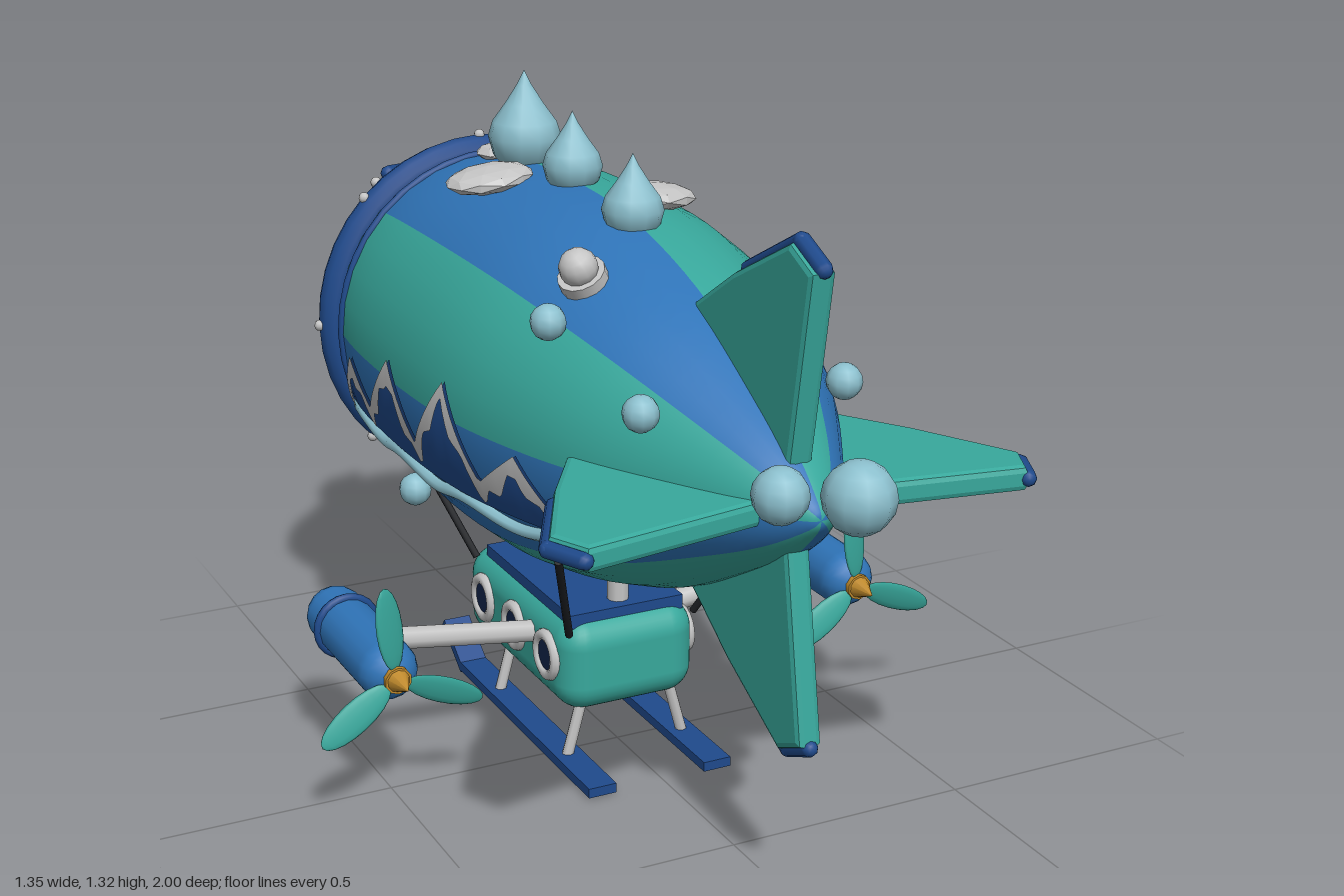
import * as THREE from 'three';
import { RoundedBoxGeometry } from 'three/addons/geometries/RoundedBoxGeometry.js';

const V = (x, y, z) => new THREE.Vector3(x, y, z);
const mat = (name, color) => Object.assign(new THREE.MeshStandardMaterial({ color }), { name });
const AXIS = 0.77; // height of the hull axis

// Hull profile: radius against z, from nose (-z) to tail (+z)
const profile = new THREE.SplineCurve([[0, -1], [0.095, -0.96], [0.18, -0.9], [0.265, -0.8], [0.325, -0.68],
  [0.363, -0.5], [0.377, -0.25], [0.37, 0], [0.335, 0.2], [0.27, 0.4], [0.165, 0.6], [0.09, 0.72], [0.025, 0.79], [0, 0.8]]
  .map(([r, z]) => new THREE.Vector2(r, z))).getPoints(52);
profile.forEach(p => { p.x = Math.max(p.x, 0); });

function hullR(z) {
  for (let i = 1; i < profile.length; i++) {
    const a = profile[i - 1], b = profile[i];
    if (z <= b.y) return a.x + (b.x - a.x) * (z - a.y) / (b.y - a.y || 1);
  }
  return 0;
}
const onHull = (deg, z, lift = 0) => {
  const a = THREE.MathUtils.degToRad(deg), r = hullR(z) + lift;
  return V(Math.cos(a) * r, AXIS + Math.sin(a) * r, z);
};
const hullNormal = (deg, z) => {
  const a = THREE.MathUtils.degToRad(deg), slope = (hullR(z + 0.02) - hullR(z - 0.02)) / 0.04;
  return V(Math.cos(a), Math.sin(a), -slope).normalize();
};

export function createModel() {
  const teal = mat('teal', 0x38a89c), blue = mat('blue', 0x2f74b8), deep = mat('deepBlue', 0x1f4a8c);
  const aqua = mat('aqua', 0x8cc0ce), grey = mat('paleGrey', 0xc4c4c4), navy = mat('navy', 0x12244a);
  const gold = mat('gold', 0xc08a2c), black = mat('black', 0x1c1e22);
  deep.side = grey.side = aqua.side = THREE.DoubleSide;

  const root = new THREE.Group();
  root.name = 'airship';
  const body = new THREE.Group();
  body.name = 'body';
  body.position.x = -0.012;
  root.add(body);

  const add = (name, geo, material, pos = [0, 0, 0], parent = body) => {
    const m = new THREE.Mesh(geo, material);
    m.name = name;
    m.position.set(...pos);
    parent.add(m);
    return m;
  };
  const group = (name, pos = [0, 0, 0], parent = body) => {
    const g = new THREE.Group();
    g.name = name;
    g.position.set(...pos);
    parent.add(g);
    return g;
  };
  const rod = (name, a, b, r, material, parent = body, round = false) => {
    const len = a.distanceTo(b);
    const geo = round ? new THREE.CapsuleGeometry(r, len, 4, 8) : new THREE.CylinderGeometry(r, r, len, 8);
    const m = add(name, geo, material, a.clone().lerp(b, 0.5).toArray(), parent);
    m.quaternion.setFromUnitVectors(V(0, 1, 0), b.clone().sub(a).normalize());
    return m;
  };
  const ball = (r, w = 12, h = 8) => new THREE.SphereGeometry(r, w, h);

  // Striped hull: eight gores of alternating colour
  for (let i = 0; i < 8; i++) {
    const geo = new THREE.LatheGeometry(profile, 4, Math.PI / 2 + i * Math.PI / 4, Math.PI / 4);
    add('hullGore', geo.rotateX(Math.PI / 2), i % 2 ? teal : blue, [0, AXIS, 0]);
  }
  // Keel under the belly
  const keel = [-0.04, -0.2, -0.4, -0.55, -0.68, -0.78, -0.87].map((z, i) => onHull(-90, z, i % 6 ? 0.006 : -0.05));
  add('keel', new THREE.TubeGeometry(new THREE.CatmullRomCurve3(keel), 32, 0.042, 10), blue);

  // Collar rings and rivets
  add('collar', new THREE.TorusGeometry(0.343, 0.034, 10, 40), deep, [0, AXIS, -0.645]);
  add('thinCollar', new THREE.TorusGeometry(0.351, 0.011, 8, 40), deep, [0, AXIS, -0.57]);
  for (let i = 0; i < 8; i++) {
    const a = i * Math.PI / 4;
    add('rivet', ball(0.012, 8, 6), grey, [Math.cos(a) * 0.376, AXIS + Math.sin(a) * 0.376, -0.645]);
  }

  // Tail fins with dark edge trim
  const finShape = new THREE.Shape([[0.36, 0.25], [0.525, 0.355], [0.71, 0.45], [0.775, 0.42], [0.715, 0.06], [0.4, 0.1]]
    .map(p => new THREE.Vector2(...p)));
  const finGeo = new THREE.ExtrudeGeometry(finShape, { depth: 0.024, bevelThickness: 0.012, bevelSize: 0.012, bevelSegments: 2 });
  finGeo.translate(0, 0, -0.012).rotateY(-Math.PI / 2);
  for (let i = 0; i < 4; i++) {
    const fin = group('tailFin', [0, AXIS, 0]);
    fin.rotation.z = i * Math.PI / 2;
    add('finPanel', finGeo, teal, [0, 0, 0], fin);
    rod('finTrim', V(0, 0.374, 0.54), V(0, 0.464, 0.712), 0.016, deep, fin, true);
    rod('finTrim', V(0, 0.464, 0.712), V(0, 0.432, 0.783), 0.016, deep, fin, true);
  }

  // Face: eyes, brows and mouth
  for (const s of [-1, 1]) {
    const deg = 90 - s * 36, p = onHull(deg, -0.84, 0.005);
    const eye = group('eye', p.toArray());
    eye.lookAt(p.clone().add(hullNormal(deg, -0.84)));
    add('eyeball', ball(0.08, 20, 12), grey, [0, 0, 0], eye).scale.z = 0.5;
    add('pupil', ball(0.05, 16, 10), navy, [s * 0.008, 0.008, 0.025], eye).scale.z = 0.5;
    add('glint', ball(0.012, 8, 6), grey, [0.018, 0.03, 0.046], eye);
    rod('brow', V(s * 0.05, 0.07, 0.026), V(-s * 0.055, 0.094, 0.022), 0.017, deep, eye, true);
  }
  const smile = new THREE.Shape();
  smile.moveTo(-0.1, 0.03);
  smile.quadraticCurveTo(0, -0.115, 0.1, 0.03);
  smile.quadraticCurveTo(0, -0.005, -0.1, 0.03);
  const mouth = onHull(-90, -0.912);
  const mouthGeo = new THREE.ExtrudeGeometry(smile, { depth: 0.03, bevelThickness: 0.006, bevelSize: 0.006, bevelSegments: 2 });
  add('mouth', mouthGeo.translate(0, 0, -0.02), navy, mouth.toArray()).lookAt(mouth.clone().add(hullNormal(-90, -0.912)));

  // Mountain frieze and wavy line on both flanks
  const ridge = [[0.39, 0.63], [0.27, 0.765], [0.155, 0.68], [0.04, 0.845], [-0.09, 0.685], [-0.21, 0.82], [-0.34, 0.68], [-0.44, 0.76], [-0.55, 0.63]];
  const ridgeY = z => {
    let i = 1;
    while (i < ridge.length - 1 && z < ridge[i][0]) i++;
    const [z0, y0] = ridge[i - 1], [z1, y1] = ridge[i];
    return y0 + (y1 - y0) * (z - z0) / (z1 - z0);
  };
  const flank = (s, y, z, lift) => {
    const r = hullR(z) + lift;
    return V(s * Math.sqrt(Math.max(r * r - (y - AXIS) ** 2, 0)), y, z);
  };
  const strip = (s, low, lift) => {
    const pos = [], idx = [], N = 94, M = 4;
    for (let i = 0; i <= N; i++) {
      const z = 0.39 - 0.94 * i / N, top = ridgeY(z);
      for (let j = 0; j <= M; j++) pos.push(...flank(s, THREE.MathUtils.lerp(low(z, top), top, j / M), z, lift).toArray());
    }
    for (let i = 0; i < N; i++) for (let j = 0; j < M; j++) {
      const a = i * (M + 1) + j, b = a + M + 1;
      idx.push(...(s > 0 ? [a, b, a + 1, b, b + 1, a + 1] : [a, a + 1, b, b, a + 1, b + 1]));
    }
    const geo = new THREE.BufferGeometry();
    geo.setAttribute('position', new THREE.Float32BufferAttribute(pos, 3));
    geo.setIndex(idx);
    geo.computeVertexNormals();
    return geo;
  };
  const snowLine = (z, top) => Math.max(0.628, top - 0.028 - 0.03 * Math.abs(((z + 1) * 14 % 1) * 2 - 1));
  for (const s of [-1, 1]) {
    add('mountains', strip(s, () => 0.625, 0.01), deep);
    add('snowCaps', strip(s, snowLine, 0.016), grey);
    const wave = [];
    for (let i = 0; i <= 40; i++) wave.push(flank(s, 0.602 + 0.01 * Math.sin(i * 0.55), 0.42 - 1.02 * i / 40, 0.006));
    add('waveLine', new THREE.TubeGeometry(new THREE.CatmullRomCurve3(wave), 90, 0.013, 6), aqua);
    // Bubbles on the flank
    for (const [x, y, z] of [[0.253, 1.005, 0.257], [0.204, 0.908, 0.53], [0.295, 0.495, -0.32]])
      add('bubble', ball(0.034, 10, 8), aqua, [s * x, y, z]);
  }

  // Bubbles trailing the tail
  for (const [x, y, z, r] of [[-0.013, 0.861, 0.936, 0.064], [-0.075, 0.825, 0.79, 0.051], [0.082, 0.785, 0.8, 0.042]])
    add('tailBubble', ball(r, 10, 8), aqua, [x, y, z]);

  // Droplets along the back
  const drop = [[0, -1], [0.5, -0.87], [0.87, -0.5], [1, 0], [0.87, 0.42], [0.52, 0.9], [0.2, 1.4], [0, 1.8]].map(p => new THREE.Vector2(...p));
  for (const [y, z, r] of [[1.147, 0.09, 0.06], [1.177, -0.175, 0.06], [1.19, -0.405, 0.076]])
    add('droplet', new THREE.LatheGeometry(drop, 12), aqua, [0, y, z]).scale.setScalar(r);

  // Flat faceted clouds and a valve on the back
  const cloudGeo = new THREE.IcosahedronGeometry(1, 1);
  cloudGeo.computeVertexNormals();
  for (const [x, y, z, w, d] of [[0.035, 1.135, -0.505, 0.1, 0.065], [-0.125, 1.137, -0.3, 0.092, 0.078], [0.1, 1.138, -0.025, 0.09, 0.072]]) {
    const cloud = add('cloud', cloudGeo, grey, [x, y, z]);
    cloud.scale.set(w, 0.026, d);
    cloud.rotation.z = -x * 0.9;
  }
  const valve = group('valve', onHull(119, 0.215).toArray());
  valve.quaternion.setFromUnitVectors(V(0, 1, 0), hullNormal(119, 0.215));
  add('valveBase', new THREE.CylinderGeometry(0.046, 0.046, 0.03, 14), grey, [0, 0.005, 0], valve);
  add('valveCap', ball(0.037), grey, [0, 0.035, 0], valve);

  // Gondola with roof, windscreen and portholes
  add('gondola', new RoundedBoxGeometry(0.3, 0.2, 0.52, 4, 0.06), teal, [0, 0.217, -0.16]);
  add('gondolaRoof', new THREE.BoxGeometry(0.25, 0.03, 0.42), deep, [0, 0.315, -0.14]);
  add('ventPipe', new THREE.CylinderGeometry(0.022, 0.022, 0.09, 10), grey, [0, 0.365, 0.027]);
  add('windscreen', ball(1, 16, 10), navy, [0, 0.23, -0.415]).scale.set(0.09, 0.055, 0.02);
  for (const s of [-1, 1]) {
    for (const z of [0.01, -0.15, -0.31]) {
      const port = group('porthole', [s * 0.151, 0.228, z]);
      port.rotation.y = s * Math.PI / 2;
      add('portholeRim', new THREE.TorusGeometry(0.042, 0.012, 8, 20), grey, [0, 0, 0], port);
      add('portholeGlass', new THREE.CircleGeometry(0.042, 20), navy, [0, 0, 0.004], port);
    }
    // Hanging cables
    rod('cable', V(s * 0.215, 0.515, 0.21), V(s * 0.138, 0.3, 0.09), 0.008, black);
    rod('cable', V(s * 0.215, 0.505, -0.51), V(s * 0.138, 0.295, -0.375), 0.008, black);
    // Landing skid
    add('skidRunner', new THREE.BoxGeometry(0.06, 0.02, 0.655), deep, [s * 0.128, 0.016, -0.107]);
    const tip = add('skidTip', new THREE.BoxGeometry(0.06, 0.02, 0.125), deep, [s * 0.128, 0.047, -0.479]);
    tip.rotation.x = 0.63;
    for (const z of [0.06, -0.28]) rod('skidStrut', V(s * 0.1, 0.13, z), V(s * 0.13, 0.02, z), 0.012, grey);

    // Engine pod on its arm
    rod('engineArm', V(s * 0.13, 0.245, -0.07), V(s * 0.49, 0.296, -0.07), 0.024, grey);
    const pod = group('enginePod', [s * 0.511, 0.293, 0]);
    add('podShell', new THREE.CapsuleGeometry(0.06, 0.28, 6, 16).rotateX(Math.PI / 2), blue, [0, 0, -0.08], pod);
    add('podBand', new THREE.TorusGeometry(0.06, 0.01, 8, 24), deep, [0, 0, -0.16], pod);
    add('spinner', new THREE.ConeGeometry(0.027, 0.06, 10).rotateX(Math.PI / 2), gold, [0, 0, 0.145], pod);
    add('hub', new THREE.CylinderGeometry(0.027, 0.027, 0.03, 10).rotateX(Math.PI / 2), gold, [0, 0, 0.11], pod);
    for (let i = 0; i < 3; i++) {
      const blade = group('propellerBlade', [0, 0, 0.115], pod);
      blade.rotation.z = 0.11 + i * Math.PI * 2 / 3;
      const b = add('blade', ball(1, 12, 10), teal, [0, 0.105, 0], blade);
      b.scale.set(0.031, 0.086, 0.007);
      b.rotation.y = 0.3;
    }
  }
  return root;
}
